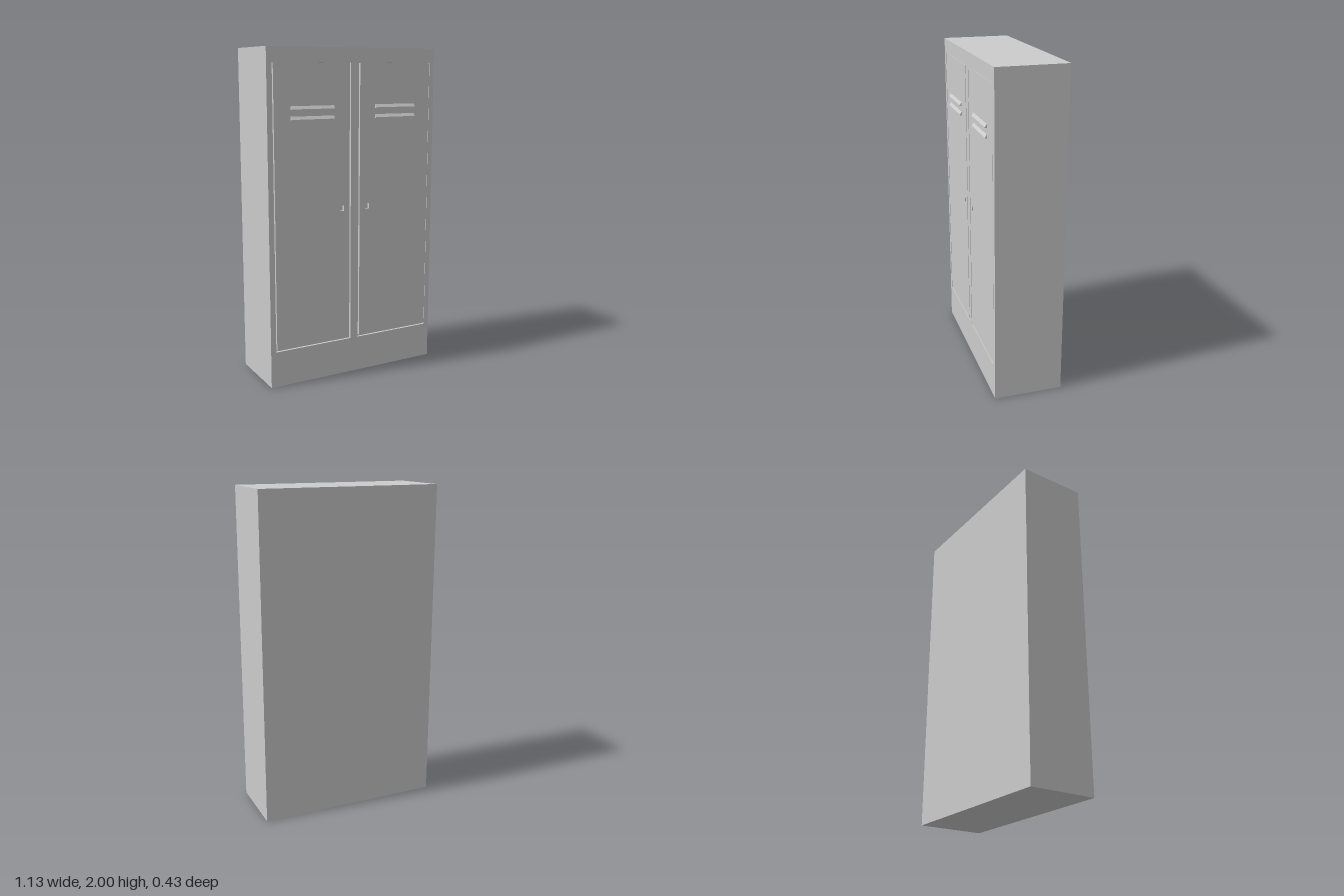
import * as THREE from 'three';

const FRONT = 0.205, BACK = -0.217, SKIN = 0.015;

function rect(Type, x0, x1, y0, y1) {
  const p = new Type();
  p.moveTo(x0, y0);
  p.lineTo(x1, y0);
  p.lineTo(x1, y1);
  p.lineTo(x0, y1);
  p.closePath();
  return p;
}

export function createModel() {
  const root = new THREE.Group();
  root.name = 'locker';
  const material = new THREE.MeshStandardMaterial({ color: 0xcccccc, flatShading: true });
  const add = (name, geometry, parent = root) => {
    const mesh = new THREE.Mesh(geometry, material);
    mesh.name = name;
    parent.add(mesh);
    return mesh;
  };
  const sheet = (shape) => new THREE.ExtrudeGeometry(shape, { depth: SKIN, bevelEnabled: false })
    .translate(0, 0, FRONT - SKIN);

  // Cabinet body behind the front skin
  const depth = FRONT - SKIN - BACK;
  add('cabinetBody', new THREE.BoxGeometry(1.13, 2, depth).translate(0, 1, BACK + depth / 2));

  // Openings and the doors inside them; the gap left between is the groove
  const sides = [
    { name: 'right', sign: -1, opening: [-0.535, -0.026], door: [-0.525, -0.036] },
    { name: 'left', sign: 1, opening: [0.026, 0.533], door: [0.036, 0.531] },
  ];
  const frame = rect(THREE.Shape, -0.565, 0.565, 0, 2);
  for (const s of sides) frame.holes.push(rect(THREE.Path, ...s.opening, 0.219, 1.914));
  add('frontFrame', sheet(frame));

  // Sloping vent hood, extruded along x
  const hood = new THREE.Shape([
    new THREE.Vector2(0, 0), new THREE.Vector2(0.012, 0),
    new THREE.Vector2(0.012, 0.004), new THREE.Vector2(0, 0.022),
  ]);
  const hoodGeometry = new THREE.ExtrudeGeometry(hood, { depth: 0.28, bevelEnabled: false })
    .translate(0, 0, -0.14).rotateY(-Math.PI / 2);

  for (const s of sides) {
    const group = new THREE.Group();
    group.name = s.name + 'Door';
    root.add(group);

    // Door panel with a small latch recess near the middle
    const panel = rect(THREE.Shape, ...s.door, 0.23, 1.912);
    const cx = s.sign * 0.088;
    panel.holes.push(rect(THREE.Path, cx - 0.014, cx + 0.014, 1.036, 1.068));
    add('doorPanel', sheet(panel), group);

    // Two vents
    for (const y of [1.647, 1.588]) {
      add('vent', hoodGeometry, group).position.set(s.sign * 0.28, y, FRONT);
    }
  }
  return root;
}
